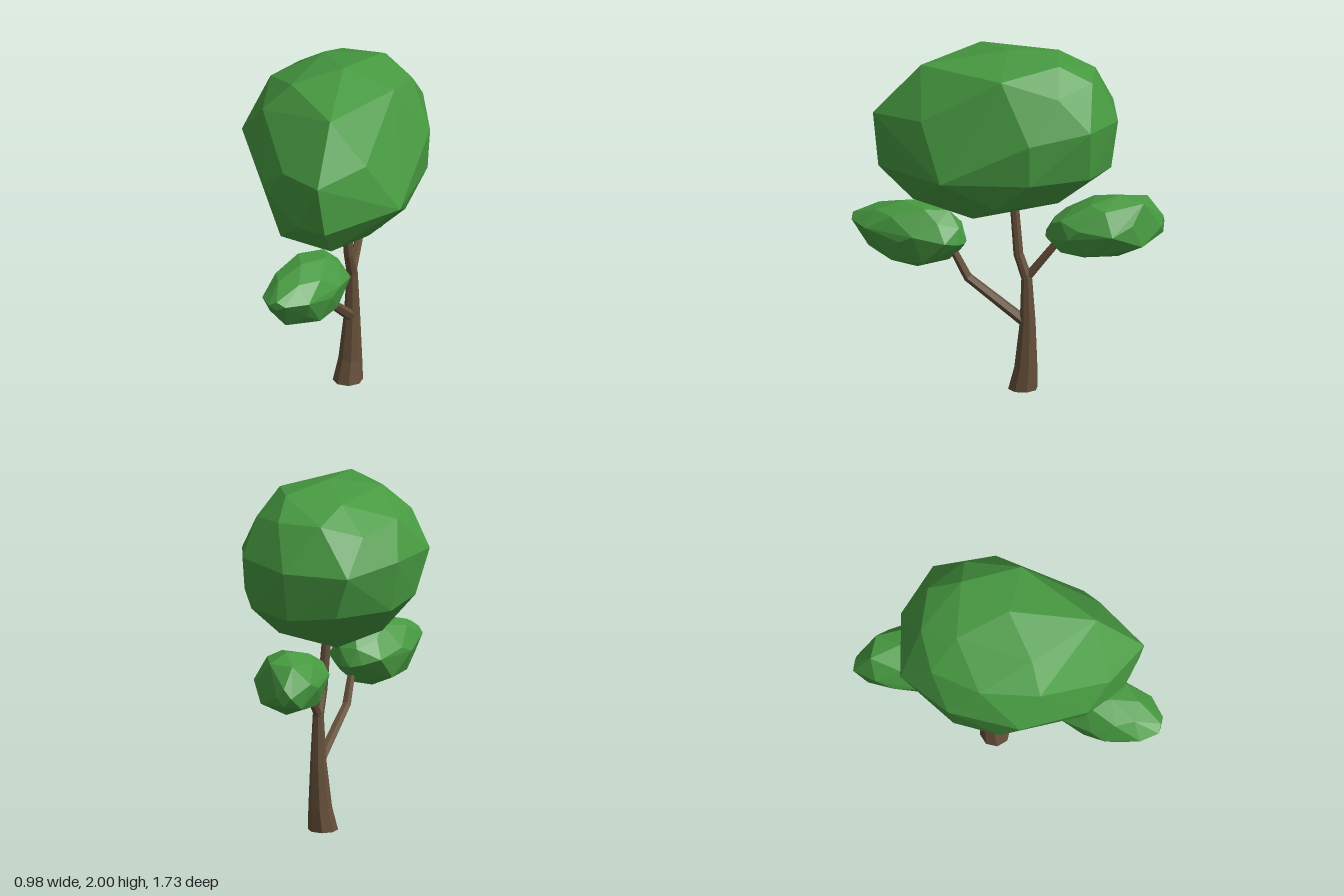
import * as THREE from 'three';
import { ConvexGeometry } from 'three/addons/geometries/ConvexGeometry.js';

const V = (x, y, z) => new THREE.Vector3(x, y, z);

// Faceted limb through stations [x, y, z, radius], capped at both ends
function limb(stations, sides, flatBase) {
  const centres = stations.map(([x, y, z]) => V(x, y, z));
  const last = stations.length - 1;
  const pos = [], index = [];
  centres.forEach((c, i) => {
    const dir = centres[Math.min(i + 1, last)].clone().sub(centres[Math.max(i - 1, 0)]).normalize();
    if (flatBase && i === 0) dir.set(0, 1, 0);
    const q = new THREE.Quaternion().setFromUnitVectors(V(0, 1, 0), dir);
    for (let s = 0; s < sides; s++) {
      const a = (s + 0.5) / sides * Math.PI * 2, r = stations[i][3];
      pos.push(...V(Math.sin(a) * r, 0, Math.cos(a) * r).applyQuaternion(q).add(c).toArray());
    }
  });
  const foot = pos.length / 3, tip = foot + 1;
  pos.push(...centres[0].toArray(), ...centres[last].toArray());
  for (let s = 0; s < sides; s++) {
    const t = (s + 1) % sides;
    for (let i = 0; i < last; i++) {
      const a = i * sides + s, b = i * sides + t;
      index.push(a, b, b + sides, a, b + sides, a + sides);
    }
    index.push(foot, t, s, tip, last * sides + s, last * sides + t);
  }
  const g = new THREE.BufferGeometry();
  g.setAttribute('position', new THREE.Float32BufferAttribute(pos, 3));
  g.setIndex(index);
  g.computeVertexNormals();
  return g;
}

// Small leaf clump: staggered elliptical sections [z, cx, cy, rx, ry, corners]
function clump(sections) {
  const pts = [];
  sections.forEach(([z, cx, cy, rx, ry, n], i) => {
    for (let s = 0; s < n; s++) {
      const a = (s + (i % 2) * 0.5) / n * Math.PI * 2;
      // alternate corners of the wide rings shift along the clump
      const dz = n > 5 ? (s % 2 - 0.5) * 0.05 : 0;
      pts.push(V(cx + Math.sin(a) * rx, cy + Math.cos(a) * ry, z + dz));
    }
  });
  return new ConvexGeometry(pts);
}

export function createModel() {
  const tree = new THREE.Group();
  tree.name = 'tree';
  const bark = new THREE.MeshStandardMaterial({ color: 0x66503a, flatShading: true });
  const leaf = new THREE.MeshStandardMaterial({ color: 0x479a41, flatShading: true });
  const add = (name, geometry, material) => {
    const m = new THREE.Mesh(geometry, material);
    m.name = name;
    tree.add(m);
  };

  // Trunk, flared at the foot and bending forward near the top
  add('trunk', limb([
    [0.038, 0, -0.098, 0.084], [0.046, 0.13, -0.116, 0.066], [0.052, 0.4, -0.127, 0.045],
    [0.055, 0.66, -0.122, 0.031], [0.052, 0.8, -0.075, 0.028], [0.035, 1.15, -0.045, 0.025],
  ], 8, true), bark);

  // Branches
  add('frontBranch', limb([
    [0.05, 0.39, -0.12, 0.032], [0.04, 0.64, 0.21, 0.026], [0.05, 0.84, 0.31, 0.021],
  ], 6), bark);
  add('backBranch', limb([
    [0.053, 0.65, -0.115, 0.026], [0.05, 0.93, -0.33, 0.022],
  ], 6), bark);

  // Leaf clumps at the branch ends
  add('frontLeaves', clump([
    [0.865, -0.04, 0.935, 0.05, 0.025, 4], [0.75, -0.02, 0.9, 0.14, 0.125, 7],
    [0.6, 0, 0.88, 0.185, 0.18, 8], [0.47, 0.02, 0.875, 0.19, 0.195, 7],
    [0.34, 0.04, 0.885, 0.16, 0.145, 8], [0.25, 0.05, 0.885, 0.09, 0.08, 5],
    [0.22, 0.05, 0.86, 0.03, 0.02, 3],
  ]), leaf);
  add('backLeaves', clump([
    [-0.865, -0.09, 0.97, 0.045, 0.05, 4], [-0.75, -0.03, 0.99, 0.16, 0.155, 7],
    [-0.6, 0.01, 0.98, 0.2, 0.18, 8], [-0.46, 0.02, 0.965, 0.19, 0.18, 7],
    [-0.35, 0.04, 0.95, 0.155, 0.13, 8], [-0.27, 0.05, 0.945, 0.09, 0.08, 5],
    [-0.23, 0.05, 0.93, 0.03, 0.02, 3],
  ]), leaf);

  // Large crown: hull of its corner points, top to bottom
  const corners = [
    [0.04, 2, -0.02], [0.34, 1.92, -0.02], [0.13, 1.92, 0.46], [-0.2, 1.95, 0.17],
    [0.16, 1.965, -0.32], [-0.16, 1.94, -0.27], [-0.13, 1.86, -0.48], [0.12, 1.86, -0.5],
    [0.33, 1.83, -0.34], [-0.34, 1.8, -0.37], [-0.41, 1.84, -0.08], [-0.34, 1.81, 0.25],
    [0.15, 1.63, 0.725], [0.33, 1.66, 0.43], [0.485, 1.6, -0.2], [0.33, 1.64, -0.52],
    [0.03, 1.61, -0.63], [-0.33, 1.6, -0.55], [-0.49, 1.64, -0.24], [-0.49, 1.62, 0.17],
    [-0.25, 1.47, 0.5], [-0.1, 1.62, 0.59],
    [0.18, 1.33, 0.69], [0, 1.33, 0.65], [0.485, 1.35, 0.3], [0.47, 1.36, -0.2],
    [0.28, 1.35, -0.51], [0.02, 1.33, -0.59], [-0.25, 1.36, -0.53], [-0.44, 1.35, -0.22],
    [-0.46, 1.38, 0.05], [0.41, 1.19, 0], [0.15, 1.13, 0.5], [-0.16, 1.15, 0.46],
    [-0.28, 1.16, 0], [0.2, 1.17, -0.32], [-0.1, 1.17, -0.34], [0.25, 1.07, 0.15],
    [0, 1.025, 0],
  ];
  add('crown', new ConvexGeometry(corners.map((p) => V(...p))), leaf);

  return tree;
}
